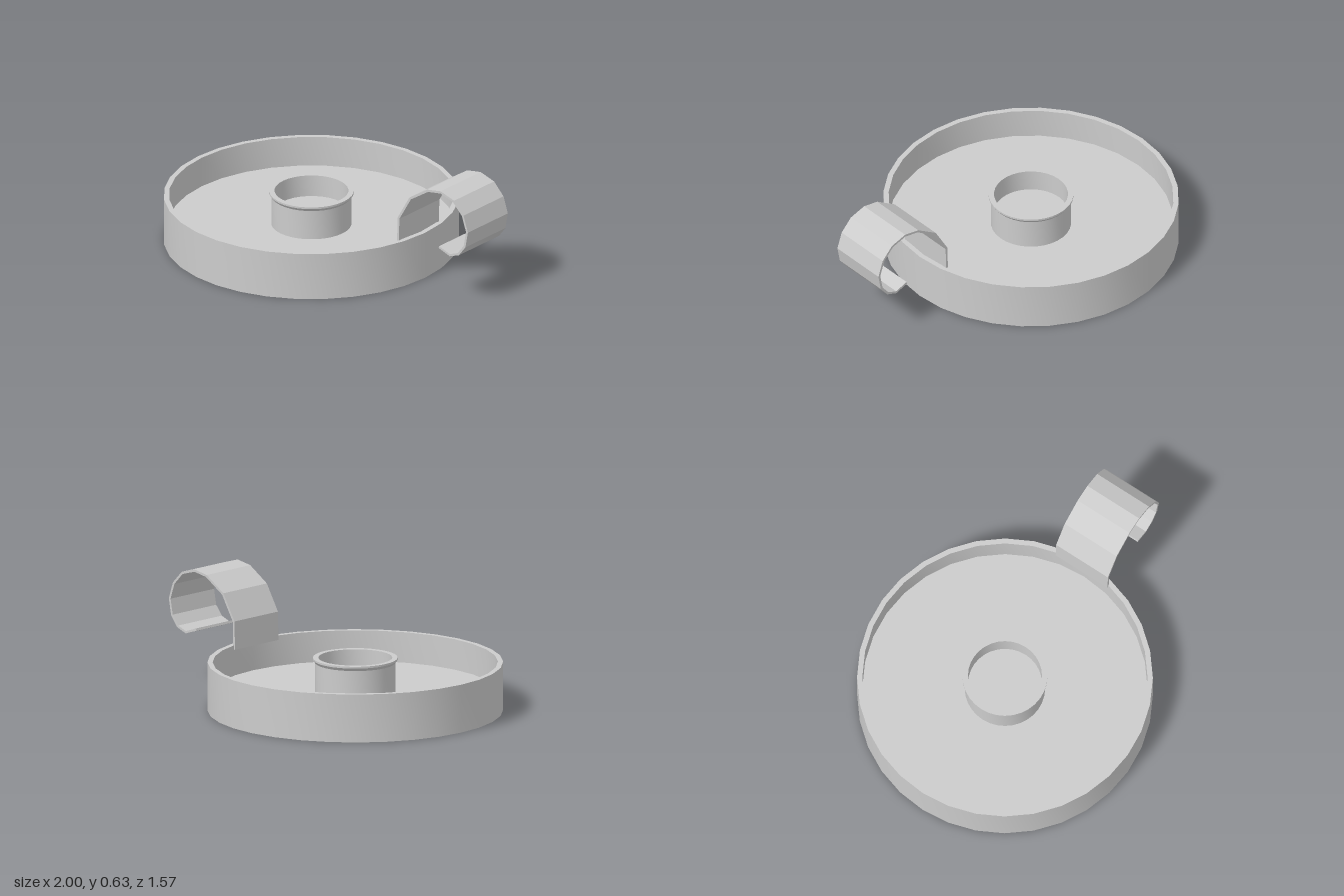
import * as THREE from 'three';
import { toCreasedNormals } from 'three/addons/utils/BufferGeometryUtils.js';

const CENTRE_X = -0.217;
const v2 = (p) => new THREE.Vector2(p[0], p[1]);

// Revolved solid with crisp rims and smooth walls
function turned(name, profile, sides, material) {
  const lathe = new THREE.LatheGeometry(profile.map(v2), sides);
  const mesh = new THREE.Mesh(toCreasedNormals(lathe, 0.5), material);
  mesh.name = name;
  mesh.position.x = CENTRE_X;
  return mesh;
}

// Bent strip of constant thickness: the path plus its inward offset, extruded across z
function bentStrip(name, path, thickness, width, material) {
  const points = path.map(v2);
  const inner = points.map((p, i) => {
    const before = points[Math.max(i - 1, 0)];
    const after = points[Math.min(i + 1, points.length - 1)];
    const along = after.clone().sub(before).normalize();
    return new THREE.Vector2(p.x + along.y * thickness, p.y - along.x * thickness);
  });
  const shape = new THREE.Shape([...points, ...inner.reverse()]);
  const geometry = new THREE.ExtrudeGeometry(shape, { depth: width, bevelEnabled: false });
  geometry.translate(0, 0, -width / 2);
  const mesh = new THREE.Mesh(geometry, material);
  mesh.name = name;
  return mesh;
}

export function createModel() {
  const group = new THREE.Group();
  group.name = 'chamberstick';
  const smooth = new THREE.MeshStandardMaterial({ color: 0xcccccc, side: THREE.DoubleSide });
  const faceted = new THREE.MeshStandardMaterial({
    color: 0xcccccc, flatShading: true, side: THREE.DoubleSide,
  });

  // Shallow dish with a thin wall and thick floor
  group.add(turned('dish', [
    [0, 0], [0.783, 0], [0.783, 0.26], [0.755, 0.26], [0.755, 0.095], [0, 0.095],
  ], 32, smooth));

  // Candle socket with a small flared lip
  group.add(turned('candleSocket', [
    [0.213, 0.09], [0.213, 0.258], [0.225, 0.274], [0.225, 0.284],
    [0.196, 0.284], [0.196, 0.165], [0, 0.165],
  ], 32, smooth));

  // Curled finger strap fixed to the inside of the wall
  group.add(bentStrip('handle', [
    [0.511, 0.237], [0.515, 0.39], [0.597, 0.53], [0.72, 0.61], [0.812, 0.626],
    [0.905, 0.598], [0.97, 0.53], [1.0, 0.44], [0.983, 0.35], [0.938, 0.292],
    [0.875, 0.268], [0.798, 0.294],
  ], 0.013, 0.33, faceted));

  return group;
}
